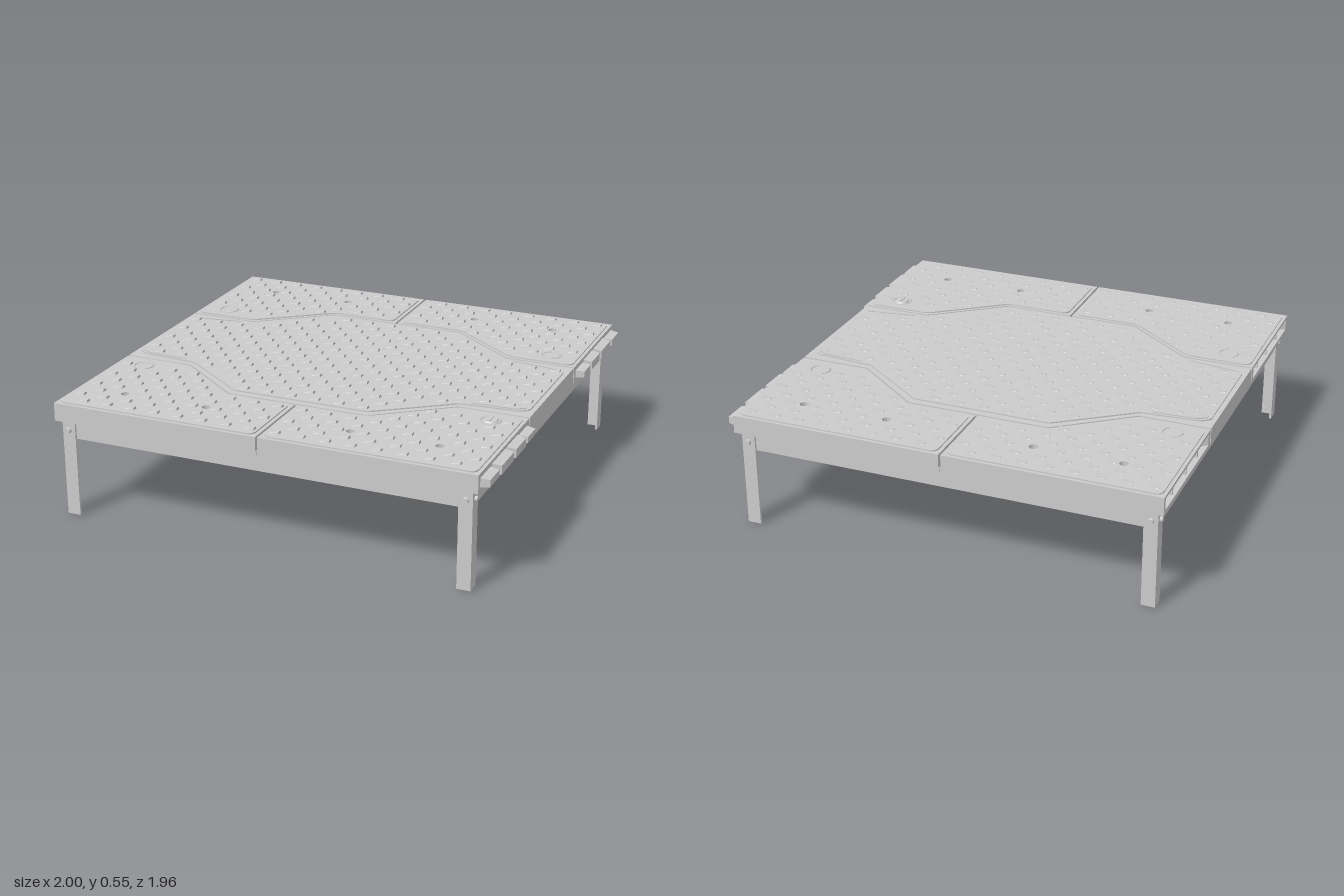
import * as THREE from 'three';
import { mergeGeometries } from 'three/addons/utils/BufferGeometryUtils.js';

const material = new THREE.MeshStandardMaterial({ color: 0xcccccc });
const BOTTOM = 0.448, TOP = 0.531, PLATE = 0.537;
const HOLES = [[0.74, 0.775], [0.34, 0.775]], LATCH = [0.84, 0.433];

function add(parent, name, geometry, x = 0, y = 0, z = 0) {
  const mesh = new THREE.Mesh(geometry, material);
  mesh.name = name;
  mesh.position.set(x, y, z);
  parent.add(mesh);
  return mesh;
}

// Plan outline with optionally rounded corners
function outline(points, radius = 0, holes = []) {
  const shape = new THREE.Shape();
  points.forEach((p, i) => {
    const a = new THREE.Vector2(...points[(i + points.length - 1) % points.length]);
    const b = new THREE.Vector2(...p);
    const c = new THREE.Vector2(...points[(i + 1) % points.length]);
    const start = b.clone().add(a.sub(b).setLength(radius));
    const end = b.clone().add(c.sub(b).setLength(radius));
    if (i === 0) shape.moveTo(start.x, start.y);
    else shape.lineTo(start.x, start.y);
    if (radius) shape.quadraticCurveTo(b.x, b.y, end.x, end.y);
  });
  for (const [x, z] of holes) shape.holes.push(new THREE.Path().absarc(x, z, 0.02, 0, Math.PI * 2));
  return shape;
}

// Horizontal slab between two heights, plan y becomes z
function slab(shape, y0, y1) {
  const g = new THREE.ExtrudeGeometry(shape, { depth: y1 - y0, bevelEnabled: false, curveSegments: 6 });
  return g.rotateX(Math.PI / 2).translate(0, y1, 0);
}

const mirror4 = (q) => [
  ...q, ...q.map(([x, z]) => [-x, z]).reverse(),
  ...q.map(([x, z]) => [-x, -z]), ...q.map(([x, z]) => [x, -z]).reverse(),
];

// Seam between the centre panel and the corner panels
function seamZ(ax) {
  return THREE.MathUtils.clamp(0.58 - (ax - 0.33) * 0.25 / 0.325, 0.33, 0.58);
}

// Box whose vertices are moved by a rule
function shapedBox(w, h, d, rule) {
  const g = new THREE.BoxGeometry(w, h, d).toNonIndexed();
  const p = g.attributes.position, v = new THREE.Vector3();
  for (let i = 0; i < p.count; i++) {
    v.fromBufferAttribute(p, i);
    rule(v);
    p.setXYZ(i, v.x, v.y, v.z);
  }
  g.computeVertexNormals();
  return g;
}

function cornerPanel(sx, sz) {
  const group = new THREE.Group();
  group.name = 'cornerPanel';
  const flip = (pts) => pts.map(([x, z]) => [x * sx, z * sz]);
  const holes = flip(HOLES);
  const edge = (g, side) => flip([
    [g, 0.98], [0.98, 0.98], ...side, [0.98, 0.33 + g], [0.655, 0.33 + g], [0.33, 0.58 + g], [g, 0.58 + g],
  ]);
  // The right-hand panels carry a socket cut into their outer side
  const socket = sx < 0 ? [[0.98, 0.96], [0.945, 0.94], [0.945, 0.38], [0.98, 0.36]] : [];
  add(group, 'panelBase', slab(outline(edge(0.001, []), 0, holes), BOTTOM, 0.466));
  add(group, 'panelCore', slab(outline(edge(0.005, socket), 0, holes), 0.466, 0.518));
  add(group, 'panelTop', slab(outline(edge(0.005, []), 0, holes), 0.518, TOP));
  const plate = flip([[0.022, 0.965], [0.965, 0.965], [0.965, 0.347], [0.662, 0.347], [0.335, 0.598], [0.022, 0.598]]);
  add(group, 'treadPlate', slab(outline(plate, 0.035, holes), TOP, PLATE));

  // Round latch
  const [lx, lz] = [LATCH[0] * sx, LATCH[1] * sz];
  add(group, 'latchRing', new THREE.TorusGeometry(0.044, 0.004, 6, 28).rotateX(Math.PI / 2), lx, PLATE, lz);
  if (sx > 0 && sz > 0) {
    add(group, 'latchKnob', new THREE.CylinderGeometry(0.03, 0.036, 0.008, 24), lx, PLATE + 0.003, lz);
    add(group, 'latchGrip', new THREE.BoxGeometry(0.012, 0.01, 0.056), lx, PLATE + 0.006, lz);
  }

  // Interlocking tongues on the left side, or the matching socket ribs
  if (sx > 0) {
    for (const [a, b, h] of [[0.36, 0.475, 0.04], [0.485, 0.635, 0.056], [0.645, 0.82, 0.056], [0.83, 0.96, 0.044]]) {
      const g = shapedBox(0.05, h, b - a, (v) => {
        if (v.x > 0) { v.y *= 0.7; v.z *= 0.86; }
      });
      add(group, 'tongue', g, 0.995, 0.49, (a + b) / 2 * sz);
    }
  } else {
    for (const z of [0.48, 0.64, 0.825]) add(group, 'socketRib', new THREE.BoxGeometry(0.025, 0.052, 0.012), -0.955, 0.492, z * sz);
  }
  return group;
}

function centrePanel() {
  const group = new THREE.Group();
  group.name = 'centrePanel';
  const edge = (g) => mirror4([[0.98, 0.33 - g], [0.655, 0.33 - g], [0.33, 0.58 - g]]);
  add(group, 'panelBase', slab(outline(edge(0.001)), BOTTOM, 0.466));
  add(group, 'panelTop', slab(outline(edge(0.006)), 0.466, TOP));
  add(group, 'treadPlate', slab(outline(mirror4([[0.957, 0.25], [0.92, 0.28], [0.65, 0.3], [0.32, 0.542]]), 0.015), TOP, PLATE));
  // Low wedges at the four ends
  for (const sx of [-1, 1]) for (const sz of [-1, 1]) {
    const pts = [[0.94, 0.25], [0.9, 0.275], [0.7, 0.285]].map(([x, z]) => [x * sx, z * sz]);
    add(group, 'endWedge', slab(outline(pts), PLATE, PLATE + 0.005));
  }
  return group;
}

// Staggered anti-slip studs, each a small ramp
function studs() {
  const stud = shapedBox(0.046, 0.012, 0.028, (v) => {
    if (v.y > 0) {
      v.z *= 0.75;
      v.x = v.x < 0 ? -0.019 : 0.021;
      v.y = v.x < 0 ? -0.002 : 0.006;
    }
  });
  const parts = [];
  for (let row = 0; row < 28; row++) {
    const z = (row - 13.5) * 0.068, az = Math.abs(z);
    for (let col = -8; col <= 8; col++) {
      const x = (col + (row % 2) / 2) * 0.115, ax = Math.abs(x), seam = seamZ(ax);
      const onCorner = az > seam + 0.045 && ax > 0.045 && ax < 0.935;
      const onCentre = az < seam - 0.065 && ax < 0.945;
      const blocked = HOLES.some(([hx, hz]) => Math.hypot(ax - hx, az - hz) < 0.05)
        || Math.hypot(ax - LATCH[0], az - LATCH[1]) < 0.075;
      if ((onCorner || onCentre) && !blocked) parts.push(stud.clone().translate(x, PLATE + 0.004, z));
    }
  }
  return mergeGeometries(parts);
}

// Angle-section leg with its bolts
function leg(sx, sz) {
  const group = new THREE.Group();
  group.name = 'leg';
  const X = 0.953, Z = 0.962, w = 0.062, t = 0.01;
  const section = [[X, Z], [X - w, Z], [X - w, Z - t], [X - t, Z - t], [X - t, Z - w], [X, Z - w]];
  add(group, 'angleLeg', slab(outline(section.map(([x, z]) => [x * sx, z * sz])), 0, BOTTOM));
  const bolt = new THREE.CylinderGeometry(0.011, 0.014, 0.012, 16);
  add(group, 'frontBolt', bolt, (X - 0.03) * sx, 0.405, (Z + 0.005) * sz).rotation.x = sz * Math.PI / 2;
  add(group, 'sideBolt', bolt, (X + 0.005) * sx, 0.405, (Z - 0.03) * sz).rotation.z = -sx * Math.PI / 2;
  return group;
}

export function createModel() {
  const model = new THREE.Group();
  model.name = 'platform';
  const body = new THREE.Group();
  body.name = 'platformBody';
  body.position.x = -0.02; // tongues stick out on one side only
  model.add(body);

  body.add(centrePanel());
  for (const sx of [-1, 1]) for (const sz of [-1, 1]) body.add(cornerPanel(sx, sz), leg(sx, sz));
  add(body, 'studs', studs());

  // Apron beams between the legs
  const h = BOTTOM - 0.365, y = 0.365 + h / 2;
  for (const s of [-1, 1]) {
    add(body, 'longBeam', new THREE.BoxGeometry(1.884, h, 0.012), 0, y, s * 0.945);
    add(body, 'sideBeam', new THREE.BoxGeometry(0.012, h, 1.9), s * 0.936, y, 0);
  }
  return model;
}
